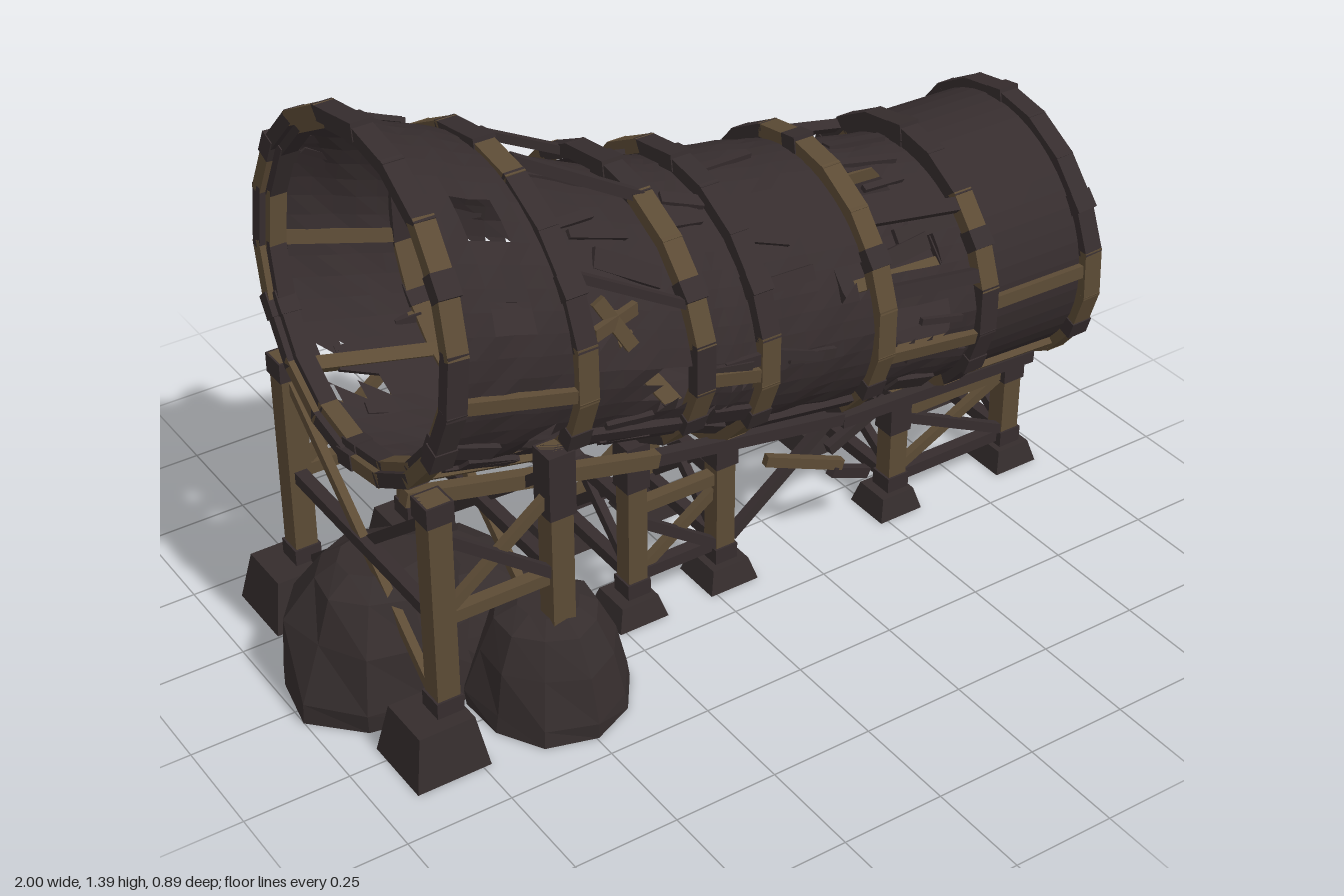
import * as THREE from 'three';

const V = (x, y, z) => new THREE.Vector3(x, y, z);
const D = Math.PI / 180;

export function createModel() {
  const model = new THREE.Group();
  model.name = 'ruinedTunnel';
  const dark = new THREE.MeshStandardMaterial({ color: 0x362d2e, side: THREE.DoubleSide });
  dark.name = 'dark weathered shell';
  const wood = new THREE.MeshStandardMaterial({ color: 0x5c4b35 });
  wood.name = 'brown timber';
  const stone = new THREE.MeshStandardMaterial({ color: 0x352d2d });
  stone.name = 'dark stone';

  let seed = 7;
  const rnd = () => (seed = (seed * 16807) % 2147483647) / 2147483647;

  function add(name, geo, mat, parent = model) {
    const m = new THREE.Mesh(geo, mat);
    m.name = name;
    parent.add(m);
  }
  // Square timber from a to b; w is across, d is along the "up" hint
  function beam(name, a, b, w, d, mat, up = V(0, 0, 1), parent = model) {
    const y = b.clone().sub(a), len = y.length();
    y.normalize();
    const x = y.clone().cross(up).normalize(), z = x.clone().cross(y);
    const geo = new THREE.BoxGeometry(w, len, d);
    geo.applyMatrix4(new THREE.Matrix4().makeBasis(x, y, z).setPosition(a.clone().add(b).multiplyScalar(0.5)));
    add(name, geo, mat, parent);
  }

  // Hoop stations: x, centre y, vertical radius, sideways radius, lean in x
  const stations = [
    [-0.77, 0.98, 0.39, 0.41, 0.03],
    [-0.46, 0.885, 0.365, 0.395, -0.005],
    [-0.155, 0.775, 0.325, 0.37, 0.0],
    [0.02, 0.725, 0.335, 0.36, 0.0],
    [0.35, 0.665, 0.335, 0.34, 0.0],
    [0.65, 0.615, 0.325, 0.33, 0.0],
    [0.96, 0.605, 0.335, 0.325, -0.015],
  ];
  const ZC = -0.025;
  // Point on the tunnel: section s, fraction t, angle a (0 = front, 90 deg = up), scale f
  function at(s, t, a, f = 1) {
    const p = stations[s], q = stations[Math.min(s + 1, 6)];
    const [x, cy, ry, rz, lean] = p.map((v, i) => v + (q[i] - v) * t);
    return V(x + lean * Math.sin(a), cy + ry * f * Math.sin(a), ZC + rz * f * Math.cos(a));
  }

  // Holes in each shell section: t0, t1, angle0, angle1
  const holes = [
    [[0.3, 0.7, 46, 62], [0.45, 0.8, 118, 132], [0.35, 0.65, 15, 28], [0.1, 0.45, -65, -50], [0.1, 0.45, 230, 245], [0.7, 0.95, -40, -27]],
    [[0.6, 0.95, -20, 0], [0.1, 0.4, 10, 22], [0.5, 0.95, 190, 212], [0.2, 0.4, 147, 160]],
    [[0.4, 0.9, -10, 0], [0.2, 0.6, -40, -27], [0.5, 0.9, 180, 200]],
    [[0.7, 0.95, 20, 32]],
    [[0.0, 0.7, 22, 40], [0.0, 0.65, -10, 8], [0.0, 0.7, 140, 158], [0.0, 0.65, 172, 190], [0.15, 0.45, 62, 75], [0.15, 0.45, -75, -62]],
    [],
  ];
  // The shell's roof sags inside the hoops: scale at the start and end of each section
  const sag = [[0.98, 0.96], [0.84, 0.87], [0.9, 0.9], [0.93, 0.92], [0.84, 0.87], [0.985, 0.975]];
  const scaleAt = (s, t, a) => {
    const f = sag[s][0] + (sag[s][1] - sag[s][0]) * t;
    return 0.965 + (f - 0.965) * Math.max(0, Math.sin(a)) ** 0.7;
  };
  const shell = new THREE.Group();
  shell.name = 'tunnelShell';
  model.add(shell);
  const NA = 48, NT = 6;
  holes.forEach((list, s) => {
    const pos = [];
    const P = (i, j) => {
      const t = i / NT, a = (j % NA) * 360 / NA * D;
      const rough = s === 5 ? 0 : 0.01 * Math.sin(j % NA * 5.3 + i * 2.1 + s) * Math.sin(Math.PI * t);
      return at(s, t, a, scaleAt(s, t, a) + rough);
    };
    const open = (t, a) => list.some(([t0, t1, a0, a1]) =>
      t > t0 && t < t1 && [a, a - 360].some(k => k > a0 && k < a1));
    for (let i = 0; i < NT; i++) for (let j = 0; j < NA; j++) {
      const q = [P(i, j), P(i + 1, j), P(i + 1, j + 1), P(i, j + 1)];
      // each half of the cell is tested alone, so the holes have ragged edges
      [[0, 1, 2, 0.67, 0.33], [0, 2, 3, 0.33, 0.67]].forEach(([a, b, c, u, v]) => {
        if (!open((i + u) / NT, (j + v) * 360 / NA)) [a, b, c].forEach(k => pos.push(...q[k].toArray()));
      });
    }
    const geo = new THREE.BufferGeometry();
    geo.setAttribute('position', new THREE.Float32BufferAttribute(pos, 3));
    geo.computeVertexNormals();
    add('shellSection', geo, dark, shell);

    // Splintered boards lying along the shell
    for (let k = 0; k < (s === 5 ? 0 : 14); k++) {
      const t = rnd() * 0.4, a = rnd() * 360 * D, t2 = t + 0.35 + rnd() * 0.25, a2 = a + (rnd() - 0.5) * 0.25;
      beam('brokenBoard', at(s, t, a, scaleAt(s, t, a) + 0.005), at(s, t2, a2, scaleAt(s, t2, a2) + 0.02),
        0.015 + rnd() * 0.035, 0.012, dark, V(0, Math.sin(a), Math.cos(a)), shell);
    }
  });

  // Hoops of straight timbers with dark joint sleeves; woodShare is the part left brown
  function hoop(name, s, dx, f, thick, width, woodShare) {
    const g = new THREE.Group(), n = 18, up = V(1, 0, 0);
    g.name = name;
    model.add(g);
    const p = j => at(s, 0, (j + 0.5) / n * 2 * Math.PI, f).add(V(dx, 0, 0));
    for (let j = 0; j < n; j++) {
      const a = p(j), b = p(j + 1), e = b.clone().sub(a).multiplyScalar(0.06);
      const high = Math.sin((j + 1) / n * 2 * Math.PI) > 0.75;
      const mat = rnd() < woodShare * (high ? 0.3 : 1) ? wood : dark;
      beam('hoopTimber', a.clone().sub(e), b.clone().add(e), thick, width, mat, up, g);
      if (j % 3 === 1) beam('hoopJoint', a.clone().addScaledVector(e, -3), a.clone().addScaledVector(e, 4), thick + 0.006, width + 0.006, dark, up, g);
    }
  }
  stations.forEach((st, s) => hoop('hoop', s, 0, 0.985, s === 6 ? 0.04 : 0.033, 0.048, s === 6 ? 0.5 : 0.68));
  hoop('endRim', 6, 0, 0.88, 0.055, 0.04, 0);
  hoop('innerEndRing', 6, 0, 0.79, 0.022, 0.05, 0.75);
  hoop('innerMouthRing', 0, 0.01, 0.93, 0.03, 0.04, 0.3);
  hoop('innerHoop', 5, 0, 0.89, 0.03, 0.04, 0.6);

  // Lengthwise stringers between the hoops, mirrored front to back
  [[0, -8, wood], [0, -52, wood], [1, -32, dark], [2, -6, wood], [3, -42, dark], [4, -13, wood],
    [4, 16, dark], [4, 46, dark], [5, 2, wood], [5, -48, wood]].forEach(([s, deg, mat]) => {
    for (const a of [deg * D, Math.PI - deg * D])
      beam('stringer', at(s, 0, a, 0.975), at(s, 1, a, 0.975), 0.032, 0.024, mat, V(0, Math.sin(a), Math.cos(a)));
  });
  // Roof poles left standing above the sagged shell
  beam('ridgePole', at(1, 0.1, 80 * D, 0.99), at(1, 1, 70 * D, 0.99), 0.025, 0.025, dark);
  beam('ridgePole', at(1, 0, 110 * D, 0.98), at(1, 1, 118 * D, 0.96), 0.02, 0.02, dark);
  beam('roofPole', at(1, 0.0, 35 * D, 0.97), at(1, 1, 25 * D, 0.97), 0.02, 0.02, dark);
  beam('brokenBatten', at(1, 0.1, 14 * D, 0.98), at(1, 0.5, 24 * D, 0.97), 0.03, 0.015, wood);
  beam('brokenBatten', at(1, 0.2, 26 * D, 0.97), at(1, 0.4, 10 * D, 0.985), 0.03, 0.015, wood);

  // Footing block, post and dark sleeves
  function post(x, z, top, w, fw, fh, sleeve, fx = 0) {
    const r = fw * Math.SQRT1_2;
    const geo = new THREE.CylinderGeometry(r * 0.75, r, fh, 4).toNonIndexed();
    geo.rotateY(Math.PI / 4).translate(x + fx, fh / 2, z).computeVertexNormals();
    add('footing', geo, stone);
    beam('post', V(x, fh * 0.8, z), V(x, top, z), w, w, wood);
    for (const [y0, y1] of [[fh, fh + 0.04], [top - sleeve, top]])
      beam('postSleeve', V(x, y0, z), V(x, y1, z), w + 0.01, w + 0.01, dark);
  }
  // Trestles: x0, x1, front z, back z, top at x0 and x1, post width, footing width and height, rail heights
  const trestles = [
    [-0.79, -0.5, 0.295, -0.345, 0.67, 0.68, 0.055, 0.18, 0.125, [0.36]],
    [-0.19, 0.05, 0.11, -0.2, 0.47, 0.42, 0.05, 0.13, 0.055, [0.1, 0.285]],
    [0.55, 0.895, 0.11, -0.2, 0.34, 0.34, 0.05, 0.12, 0.055, [0.08, 0.26]],
  ];
  trestles.forEach(([x0, x1, zf, zb, h0, h1, w, fw, fh, rails], k) => {
    for (const z of [zf, zb]) {
      post(x0, z, h0, w, fw, fh, k ? 0.12 : 0.05, k ? -0.01 : -0.03);
      post(x1, z, h1, w, fw, fh, k ? 0.1 : 0.16);
      rails.forEach((y, i) => beam('rail', V(x0, y, z), V(x1, y, z), 0.03, 0.03, i || !k ? wood : dark));
      const lo = k ? 0.09 : 0.36, hi = k ? 0.26 : 0.58;
      beam('brace', V(x0, lo, z), V(x1, hi, z), 0.025, 0.02, wood);
      beam('brace', V(x0, hi, z + 0.012), V(x1, lo, z + 0.012), 0.025, 0.02, dark);
    }
    for (const x of [x0, x1]) {
      rails.forEach(y => beam('crossRail', V(x, y, zf), V(x, y, zb), 0.03, 0.03, dark, V(1, 0, 0)));
      beam('crossBrace', V(x, 0.1, zf), V(x, h1 - 0.06, zb), 0.025, 0.02, k ? dark : wood, V(1, 0, 0));
      beam('crossBrace', V(x + 0.015, h1 - 0.06, zf), V(x + 0.015, 0.1, zb), 0.025, 0.02, dark, V(1, 0, 0));
    }
  });
  // Saddle beams under the tunnel and broken timbers between the trestles
  for (const z of [0.15, -0.22]) {
    beam('saddleBeam', V(-0.78, 0.58, z), V(-0.15, 0.43, z), 0.035, 0.03, wood);
    beam('saddleBeam', V(-0.2, 0.44, z), V(0.36, 0.345, z), 0.03, 0.03, dark);
    beam('saddleBeam', V(0.36, 0.335, z), V(0.93, 0.31, z), 0.03, 0.03, dark);
  }
  [[0.08, 0.1, 0.11, 0.42, 0.35, 0.1], [0.17, 0.28, 0.12, 0.36, 0.22, 0.16], [0.33, 0.21, 0.16, 0.45, 0.15, 0.14],
    [0.22, 0.3, -0.2, 0.55, 0.12, -0.2], [0.35, 0.24, 0.12, 0.55, 0.32, 0.11]].forEach(([a, b, c, d, e, f], i) =>
    beam('brokenTimber', V(a, b, c), V(d, e, f), 0.026, 0.022, i % 2 ? wood : dark));

  // Faceted boulders with flat tops
  function boulder(x, z, rx, h, rz, phase) {
    const prof = [[0, 0], [0.98, 0], [0.97, 0.16], [0.84, 0.58], [0.62, 0.9], [0.36, 1], [0, 1]].map(p => new THREE.Vector2(...p));
    const geo = new THREE.LatheGeometry(prof, 10).toNonIndexed();
    const p = geo.attributes.position;
    for (let i = 0; i < p.count; i++) {
      const px = p.getX(i), py = p.getY(i), pz = p.getZ(i);
      const k = 1 + 0.06 * Math.sin(px * 7 + pz * 5 + py * 4 + phase);
      p.setXYZ(i, x + px * rx * k, py * h, z + pz * rz * k);
    }
    geo.computeVertexNormals();
    add('boulder', geo, stone);
  }
  boulder(-0.755, -0.03, 0.25, 0.31, 0.23, 0);
  boulder(-0.495, 0.245, 0.19, 0.25, 0.195, 2);
  boulder(-0.57, -0.02, 0.2, 0.24, 0.23, 4);
  return model;
}
